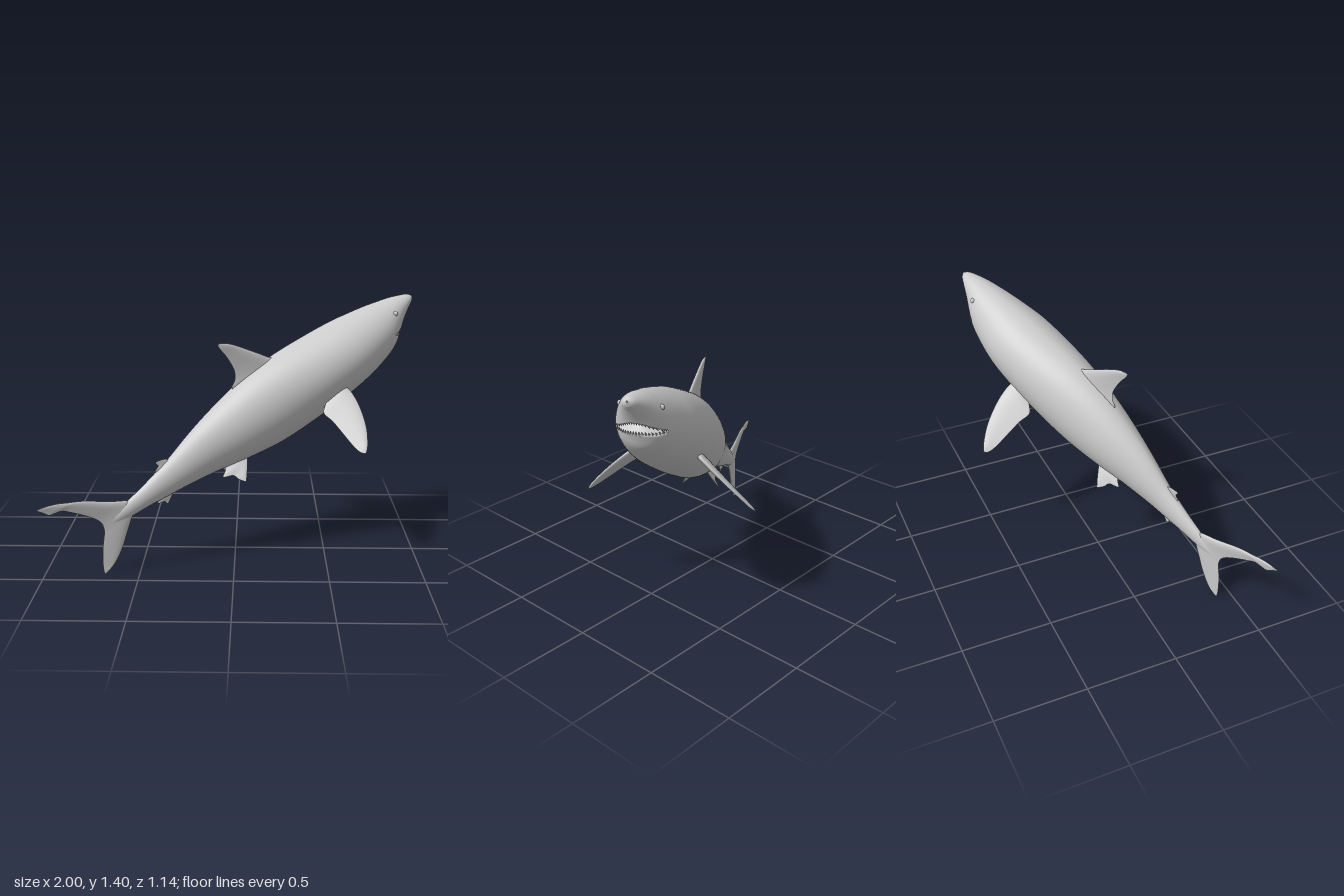
import * as THREE from 'three';

const material = new THREE.MeshStandardMaterial({ color: 0xcccccc, side: THREE.DoubleSide });

// Smooth interpolation through rows of [key, a, b, ...], keys ascending.
function sample(rows, key) {
  const last = rows.length - 1;
  let k = 0;
  while (k < last - 1 && key > rows[k + 1][0]) k++;
  const slope = (i, c) => {
    const p = rows[Math.max(i - 1, 0)], n = rows[Math.min(i + 1, last)];
    return (n[c] - p[c]) / (n[0] - p[0]);
  };
  const A = rows[k], B = rows[k + 1], d = B[0] - A[0];
  const t = (key - A[0]) / d, t2 = t * t, t3 = t2 * t;
  return A.slice(1).map((a, i) =>
    a * (2 * t3 - 3 * t2 + 1) + B[i + 1] * (3 * t2 - 2 * t3) +
    slope(k, i + 1) * d * (t3 - 2 * t2 + t) + slope(k + 1, i + 1) * d * (t3 - t2));
}

// Skins a list of keys with closed rings of points.
function loft(keys, sides, point) {
  const pos = [], idx = [];
  keys.forEach((key, i) => {
    for (let j = 0; j < sides; j++) {
      pos.push(...point(key, (j / sides) * Math.PI * 2));
      if (i === keys.length - 1) continue;
      const a = i * sides + j, b = i * sides + (j + 1) % sides;
      idx.push(a, a + sides, b, b, a + sides, b + sides);
    }
  });
  const g = new THREE.BufferGeometry();
  g.setAttribute('position', new THREE.Float32BufferAttribute(pos, 3));
  g.setIndex(idx);
  g.computeVertexNormals();
  return g;
}

const range = (a, b, n) => Array.from({ length: n }, (_, i) => a + ((b - a) * i) / n);

// Body stations: length, back height, belly height, half width
const BODY = [
  [-0.84, 0.012, -0.012, 0.004], [-0.78, 0.03, -0.03, 0.014], [-0.7, 0.045, -0.042, 0.024],
  [-0.6, 0.06, -0.052, 0.035], [-0.5, 0.08, -0.068, 0.045], [-0.4, 0.102, -0.082, 0.058],
  [-0.2, 0.158, -0.118, 0.095], [0, 0.2, -0.165, 0.135], [0.2, 0.229, -0.2, 0.165],
  [0.4, 0.235, -0.208, 0.188], [0.6, 0.22, -0.205, 0.2], [0.8, 0.197, -0.192, 0.195],
  [0.95, 0.17, -0.168, 0.165], [1.05, 0.148, -0.136, 0.137], [1.12, 0.129, -0.083, 0.11],
  [1.18, 0.112, -0.038, 0.083], [1.25, 0.085, 0.002, 0.05], [1.29, 0.065, 0.02, 0.026],
  [1.308, 0.043, 0.037, 0.004],
];

function skin(u, a) {
  const [top, bottom, half] = sample(BODY, u);
  const c = Math.cos(a), s = Math.sin(a);
  const w = s > 0 ? Math.sign(c) * Math.abs(c) ** 1.12 : c; // slight ridge along the back
  return [u, (top + bottom) / 2 + ((top - bottom) / 2) * s, half * w];
}

// Mouth: a crescent under the snout; f runs from -1 to 1 between its corners
const MOUTH_ANGLE = 1.24;
const mouthCentre = (f) => 1.15 - 0.1 * f * f;
const mouthHalf = (f) => 0.028 * (1 - f * f) + 0.002;

function bodyPoint(u, a) {
  const p = skin(u, a);
  const f = (a - Math.PI * 1.5) / MOUTH_ANGLE;
  if (Math.abs(f) >= 1) return p;
  const t = (u - mouthCentre(f)) / mouthHalf(f);
  if (Math.abs(t) >= 1) return p;
  const depth = (1 - t ** 4) * (1 - f ** 4);
  return [p[0] - 0.035 * depth, p[1] + 0.045 * depth, p[2] * (1 - 0.2 * depth)];
}

// Fin stations: span, leading edge, trailing edge
const DORSAL = [
  [0.15, 0.46, 0.13], [0.2, 0.42, 0.115], [0.228, 0.395, 0.107], [0.25, 0.37, 0.14],
  [0.29, 0.34, 0.163], [0.34, 0.3, 0.168], [0.4, 0.252, 0.164], [0.45, 0.205, 0.154],
  [0.474, 0.167, 0.155],
];
const SECOND_DORSAL = [
  [0.06, -0.37, -0.46], [0.09, -0.38, -0.488], [0.105, -0.395, -0.46],
  [0.12, -0.415, -0.46], [0.131, -0.445, -0.463],
];
const ANAL = [
  [0.04, -0.44, -0.54], [0.074, -0.465, -0.566], [0.085, -0.482, -0.53],
  [0.096, -0.5, -0.527], [0.106, -0.515, -0.522],
];
const TAIL_UPPER = [
  [-0.02, -0.66, -0.872], [0.043, -0.69, -0.876], [0.101, -0.772, -0.908],
  [0.185, -0.875, -0.975], [0.221, -0.93, -1.012], [0.235, -0.955, -1.064],
  [0.263, -1.0, -1.085], [0.285, -1.05, -1.1], [0.3, -1.095, -1.112],
];
const TAIL_LOWER = [
  [-0.02, -0.66, -0.872], [0.02, -0.69, -0.885], [0.053, -0.73, -0.91], [0.1, -0.785, -0.945],
  [0.149, -0.841, -0.975], [0.19, -0.9, -0.997], [0.212, -0.946, -1.005], [0.224, -0.992, -1.006],
];
const PECTORAL = [
  [-0.08, 0.66, 0.5], [0, 0.637, 0.485], [0.04, 0.635, 0.435], [0.115, 0.617, 0.436],
  [0.2, 0.583, 0.43], [0.27, 0.545, 0.424], [0.32, 0.508, 0.422], [0.36, 0.472, 0.428],
  [0.376, 0.45, 0.442],
];
const PELVIC = [
  [-0.04, -0.01, -0.15], [0, -0.02, -0.165], [0.025, -0.03, -0.198], [0.05, -0.05, -0.15],
  [0.085, -0.08, -0.138], [0.117, -0.11, -0.118],
];

// Foil-shaped fin, thick near the leading edge and thinning to the tip
function finGeometry(stations, thickness) {
  const start = stations[0][0], end = stations[stations.length - 1][0];
  return loft([...range(start, end, 40), end], 28, (q, a) => {
    const [lead, trail] = sample(stations, q);
    const chord = lead - trail, c = Math.cos(a);
    const taper = 1 - 0.6 * (q - start) / (end - start);
    return [trail + (chord * (1 + c)) / 2, q,
      thickness * taper * Math.min(1, chord / 0.06) * Math.sin(a) * (0.6 + 0.4 * c)];
  });
}

export function createModel() {
  const model = new THREE.Group();
  model.name = 'shark';
  // Swimming pose: nose up and turned aside
  model.rotation.set(0, Math.atan(0.485), Math.PI / 6, 'YXZ');
  model.position.set(0, 0.7, 0.085);

  const add = (name, geometry, x = 0, y = 0, z = 0, roll = 0) => {
    const mesh = new THREE.Mesh(geometry, material);
    mesh.name = name;
    mesh.position.set(x, y, z);
    mesh.rotation.x = roll;
    model.add(mesh);
    return mesh;
  };

  // Body, with finer rings around the mouth
  const rings = [...range(-0.84, 1, 60), ...range(1, 1.2, 70), ...range(1.2, 1.308, 24), 1.308];
  add('body', loft(rings, 96, bodyPoint));

  // Fins on the centre line
  add('dorsalFin', finGeometry(DORSAL, 0.026));
  add('secondDorsalFin', finGeometry(SECOND_DORSAL, 0.008));
  add('analFin', finGeometry(ANAL, 0.008), 0, 0, 0, Math.PI);
  add('tailUpperLobe', finGeometry(TAIL_UPPER, 0.02));
  add('tailLowerLobe', finGeometry(TAIL_LOWER, 0.02), 0, 0, 0, Math.PI);

  // Paired fins and eyes
  const pectoral = finGeometry(PECTORAL, 0.027), pelvic = finGeometry(PELVIC, 0.013);
  const eye = new THREE.SphereGeometry(0.014, 20, 14);
  for (const side of [1, -1]) {
    add('pectoralFin', pectoral, 0, -0.1, side * 0.16, side * 2.25);
    add('pelvicFin', pelvic, 0, -0.13, side * 0.04, side * 2.47);
    add('eye', eye, 1.118, 0.056, side * 0.1);
  }

  // Teeth along both lips, each row pointing at the other
  const tooth = new THREE.ConeGeometry(0.005, 0.018, 6);
  const up = new THREE.Vector3(0, 1, 0);
  for (let i = -8; i <= 8; i++) {
    const f = i / 9.5, a = Math.PI * 1.5 + f * MOUTH_ANGLE;
    const lip = (s) => new THREE.Vector3(...skin(mouthCentre(f) + s * mouthHalf(f), a));
    for (const s of [1, -1]) {
      const root = lip(s), dir = lip(-s).sub(root).normalize();
      const mesh = add(s > 0 ? 'upperTooth' : 'lowerTooth', tooth);
      mesh.position.copy(root).addScaledVector(dir, 0.008);
      mesh.position.y += 0.004;
      mesh.quaternion.setFromUnitVectors(up, dir);
    }
  }

  const group = new THREE.Group();
  group.add(model);
  return group;
}
